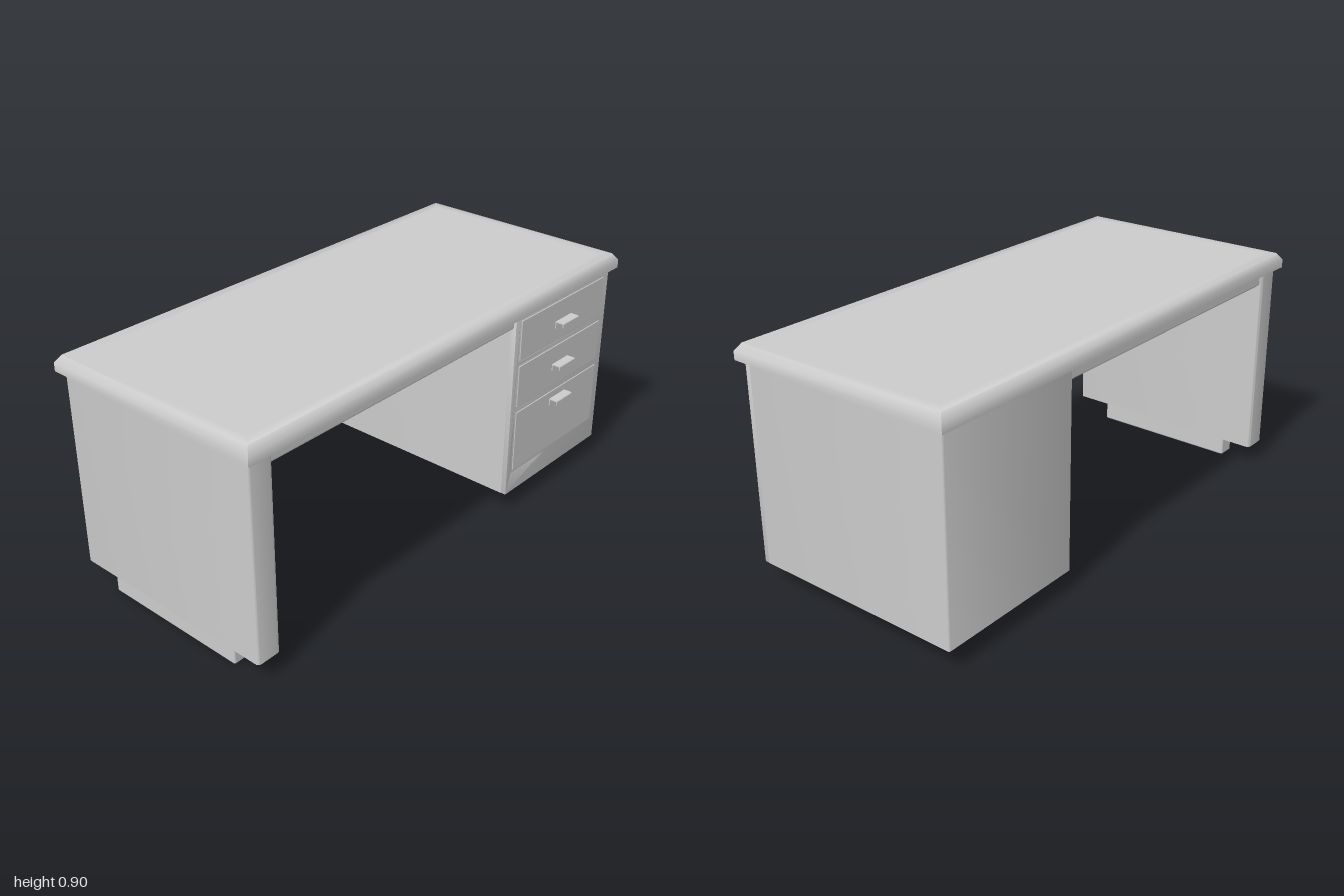
import * as THREE from 'three';
import { toCreasedNormals } from 'three/addons/utils/BufferGeometryUtils.js';
import { RoundedBoxGeometry } from 'three/addons/geometries/RoundedBoxGeometry.js';

const grey = new THREE.MeshStandardMaterial({ color: 0xcccccc });

function part(parent, name, geometry) {
  const mesh = new THREE.Mesh(geometry, grey);
  mesh.name = name;
  parent.add(mesh);
  return mesh;
}

// Box given by its limits, with softly rounded edges
function softBox(parent, name, [x0, x1], [y0, y1], [z0, z1], r) {
  const mesh = part(parent, name, new RoundedBoxGeometry(x1 - x0, y1 - y0, z1 - z0, 2, r));
  mesh.position.set((x0 + x1) / 2, (y0 + y1) / 2, (z0 + z1) / 2);
  return mesh;
}

function roundedRect(x0, x1, y0, y1, r, Type = THREE.Shape) {
  const s = new Type();
  s.absarc(x1 - r, y1 - r, r, 0, Math.PI / 2);
  s.absarc(x0 + r, y1 - r, r, Math.PI / 2, Math.PI);
  s.absarc(x0 + r, y0 + r, r, Math.PI, Math.PI * 1.5);
  s.absarc(x1 - r, y0 + r, r, Math.PI * 1.5, Math.PI * 2);
  s.closePath();
  return s;
}

// Upright block whose vertical edges are rounded and horizontal edges sharp
function upright(parent, name, [x0, x1], [y0, y1], [z0, z1], r) {
  const geo = new THREE.ExtrudeGeometry(roundedRect(x0, x1, -z1, -z0, r), {
    depth: y1 - y0, bevelEnabled: false, curveSegments: 4,
  });
  geo.rotateX(-Math.PI / 2).translate(0, y0, 0);
  return part(parent, name, toCreasedNormals(geo, 0.6));
}

// Worktop from stacked rectangles, each given as [inset, height]
function worktopGeometry([x0, x1], [z0, z1], rings) {
  const pos = [], idx = [];
  rings.forEach(([d, y], i) => {
    pos.push(x0 + d, y, z1 - d, x1 - d, y, z1 - d, x1 - d, y, z0 + d, x0 + d, y, z0 + d);
    if (i === 0) return;
    for (let k = 0; k < 4; k++) {
      const a = (i - 1) * 4 + k, b = (i - 1) * 4 + (k + 1) % 4;
      idx.push(a, b, b + 4, a, b + 4, a + 4);
    }
  });
  const t = (rings.length - 1) * 4;
  idx.push(t, t + 1, t + 2, t, t + 2, t + 3, 0, 2, 1, 0, 3, 2);
  const geo = new THREE.BufferGeometry();
  geo.setAttribute('position', new THREE.Float32BufferAttribute(pos, 3));
  geo.setIndex(idx);
  return toCreasedNormals(geo, 1.0);
}

export function createModel() {
  const desk = new THREE.Group();
  desk.name = 'desk';
  const depth = [-0.445, 0.425];

  // Worktop with chamfered rim
  part(desk, 'worktop', worktopGeometry([-0.465, 0.45], [-1, 1],
    [[0, 0.84], [0, 0.872], [0.02, 0.9], [0.06, 0.9]]));

  // Shallow box under the worktop, over the knee space
  softBox(desk, 'apron', [-0.435, 0.415], [0.785, 0.842], [-0.38, 0.89], 0.012);

  // Slab leg and its plinth
  upright(desk, 'legPanel', depth, [0.08, 0.84], [0.878, 0.978], 0.014);
  softBox(desk, 'legPlinth', [-0.312, 0.294], [0, 0.09], [0.893, 0.963], 0.008);

  // Drawer pedestal and its plinth
  const pedestal = new THREE.Group();
  pedestal.name = 'pedestal';
  desk.add(pedestal);
  const width = [-0.978, -0.358];
  upright(pedestal, 'pedestalBody', [depth[0], 0.41], [0.08, 0.84], width, 0.006);
  softBox(pedestal, 'pedestalPlinth', [-0.312, 0.294], [0, 0.09], [-0.802, -0.53], 0.008);

  // Face frame with one opening per drawer
  const drawers = [
    { y: [0.645, 0.818], pull: 0.733 },
    { y: [0.448, 0.632], pull: 0.553 },
    { y: [0.17, 0.437], pull: 0.402 },
  ];
  const drawerZ = [-0.948, -0.386];
  const frame = roundedRect(-width[1], -width[0], 0.08, 0.84, 0.002);
  for (const { y } of drawers) {
    frame.holes.push(roundedRect(-drawerZ[1], -drawerZ[0], y[0], y[1], 0.002, THREE.Path));
  }
  const bevel = 0.003;
  const frameGeo = new THREE.ExtrudeGeometry(frame, {
    depth: 0.025 - 2 * bevel, bevelThickness: bevel, bevelSize: bevel,
    bevelOffset: -bevel, bevelSegments: 2, curveSegments: 2,
  });
  frameGeo.rotateY(Math.PI / 2).translate(0.4 + bevel, 0, 0);
  part(pedestal, 'faceFrame', toCreasedNormals(frameGeo, 0.6));

  // Pull: back plate, projecting shelf and down-turned lip
  const pullShape = new THREE.Shape([
    [0, 0], [0.034, 0], [0.037, -0.003], [0.037, -0.018], [0.033, -0.018],
    [0.033, -0.004], [0.005, -0.004], [0.005, -0.028], [0, -0.028],
  ].reverse().map(([x, y]) => new THREE.Vector2(x, y)));
  const pullGeo = new THREE.ExtrudeGeometry(pullShape, { depth: 0.105, bevelEnabled: false });

  // Drawer fronts, a narrow gap inside their openings, with pulls
  const gap = 0.006;
  for (const { y, pull } of drawers) {
    softBox(pedestal, 'drawerFront', [0.4, 0.428], [y[0] + gap, y[1] - gap],
      [drawerZ[0] + gap, drawerZ[1] - gap], 0.003);
    part(pedestal, 'drawerPull', pullGeo).position.set(0.427, pull, -0.72);
  }

  // Lock barrel above the top drawer
  const lock = part(pedestal, 'lock', new THREE.CylinderGeometry(0.009, 0.011, 0.02, 16));
  lock.rotation.z = -Math.PI / 2;
  lock.position.set(0.42, 0.827, -0.668);

  return desk;
}
